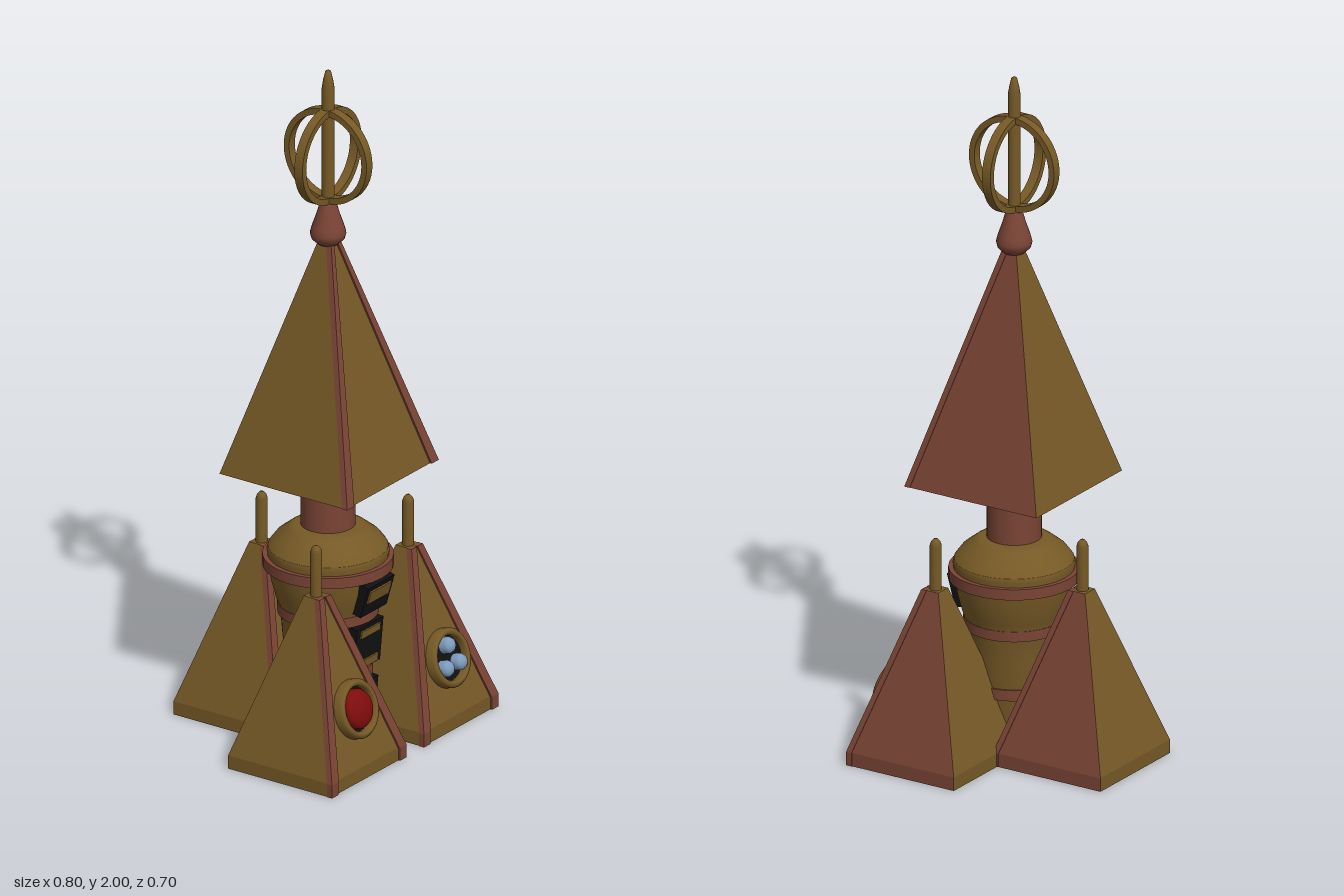
import * as THREE from 'three';

const mat = (name, color, extra = {}) => {
  const m = new THREE.MeshStandardMaterial({ color, ...extra });
  m.name = name;
  return m;
};

export function createModel() {
  const root = new THREE.Group();
  root.name = 'spireTower';
  const gold = mat('agedGold', 0x765926);
  const copper = mat('agedCopper', 0x7a4435);
  const black = mat('black', 0x111111);
  const red = mat('redGlass', 0x800c0c);
  const blue = mat('blueGlass', 0x7d9cbd);

  const add = (parent, name, geo, material, x = 0, y = 0, z = 0) => {
    const m = new THREE.Mesh(geo, material);
    m.name = name;
    m.position.set(x, y, z);
    parent.add(m);
    return m;
  };
  const group = (parent, name, x, y, z) => {
    const g = new THREE.Group();
    g.name = name;
    g.position.set(x, y, z);
    parent.add(g);
    return g;
  };
  const lathe = (pts, seg = 32) => new THREE.LatheGeometry(pts.map(p => new THREE.Vector2(p[0], p[1])), seg);

  // reshape a unit box (u, t, v) by a rule; faces stay flat
  const shapedBox = rule => {
    const g = new THREE.BoxGeometry(1, 1, 1);
    const p = g.attributes.position;
    for (let i = 0; i < p.count; i++) {
      p.setXYZ(i, ...rule(p.getX(i), p.getY(i) + 0.5, p.getZ(i)));
    }
    g.computeVertexNormals();
    return g;
  };

  // copper on the model's left face, gold elsewhere
  const faces = [copper, gold, gold, gold, gold, gold];
  const addFrustum = (parent, name, hb, ht, y0, y1, w) => {
    const half = t => hb + (ht - hb) * t;
    const y = t => y0 + (y1 - y0) * t;
    add(parent, name, shapedBox((u, t, v) => [2 * u * half(t), y(t), 2 * v * half(t)]), faces);
    // raised strips along the two front edges
    for (const s of [-1, 1]) {
      const strip = shapedBox((u, t, v) => {
        const h = half(t), sw = Math.min(w, h);
        return [s * (h + 0.002 - sw / 2) + u * sw, y(t), h - 0.003 + v * 0.018];
      });
      add(parent, name + 'EdgeTrim', strip, copper);
    }
  };

  // three corner pyramids with pins
  const H = 0.176;
  const addPyramid = (name, x, z) => {
    const g = group(root, name, x, 0, z);
    addFrustum(g, 'plinth', H, H, 0, 0.04, 0.03);
    addFrustum(g, 'slopedBody', H, 0.025, 0.04, 0.51, 0.033);
    add(g, 'pin', lathe([[0.017, 0.5], [0.017, 0.64], [0.013, 0.652], [0.006, 0.66], [0, 0.66]], 16), gold);
    return g;
  };
  const rightPyramid = addPyramid('rightPyramid', -0.22, 0.17);
  const leftPyramid = addPyramid('leftPyramid', 0.22, 0.17);
  addPyramid('backPyramid', 0, -0.175);

  // round ports set on the sloping front faces
  const tilt = Math.atan((H - 0.025) / 0.47);
  const addPort = parent => {
    const g = group(parent, 'port', 0, 0.195, H - (0.195 - 0.04) * Math.tan(tilt));
    g.rotation.x = -tilt;
    const rim = lathe([[0.064, 0], [0.064, 0.022], [0.069, 0.03], [0.078, 0.03], [0.085, 0.021], [0.085, -0.004]]);
    rim.rotateX(Math.PI / 2);
    add(g, 'portRim', rim, gold).material = goldOpen;
    const disc = new THREE.CylinderGeometry(0.067, 0.067, 0.008, 32);
    disc.rotateX(Math.PI / 2);
    add(g, 'portBacking', disc, black, 0, 0, 0.004);
    return g;
  };
  const goldOpen = gold;
  gold.side = THREE.DoubleSide;

  const redPort = addPort(rightPyramid);
  const lens = lathe([[0.057, 0], [0.057, 0.02], [0.05, 0.032], [0.03, 0.041], [0, 0.044]]);
  lens.rotateX(Math.PI / 2);
  add(redPort, 'redLens', lens, red);

  const bluePort = addPort(leftPyramid);
  for (const [x, y] of [[0, 0.037], [-0.031, -0.022], [0.031, -0.022]]) {
    const bulb = lathe([[0.024, 0], [0.024, 0.026], [0.019, 0.036], [0.009, 0.041], [0, 0.042]], 20);
    bulb.rotateX(Math.PI / 2);
    add(bluePort, 'blueBulb', bulb, blue, x, y);
  }

  // central body, bands and column share one axis
  const core = group(root, 'core', 0, 0, 0.053);
  add(core, 'lowerBody', lathe([[0, 0.01], [0.095, 0.01], [0.108, 0.1], [0.118, 0.19], [0.128, 0.29], [0.134, 0.37],
    [0.148, 0.41], [0.161, 0.46], [0.167, 0.51]]), gold);
  add(core, 'shoulder', lathe([[0.167, 0.51], [0.172, 0.545], [0.168, 0.558]]), gold);
  add(core, 'shoulderSlope', lathe([[0.168, 0.558], [0.15, 0.582], [0.112, 0.612], [0.095, 0.622], [0, 0.625]]), gold);
  for (const [r, y, h] of [[0.184, 0.516, 0.032], [0.142, 0.373, 0.03], [0.125, 0.19, 0.032]]) {
    add(core, 'band', new THREE.CylinderGeometry(r, r, h, 32), copper, 0, y);
  }
  add(core, 'column', new THREE.CylinderGeometry(0.077, 0.077, 0.2, 32), copper, 0, 0.7);

  // dark front panels with gold bars
  const addPanel = (y, h, z, lean, bars) => {
    const g = group(core, 'frontPanel', 0, y, z);
    g.rotation.x = lean;
    add(g, 'darkPlate', new THREE.BoxGeometry(0.126, h, 0.034), black);
    for (const [by, bh, bw] of bars) {
      add(g, 'goldBar', new THREE.BoxGeometry(bw, bh, 0.008), gold, 0, by, 0.018);
    }
  };
  addPanel(0.446, 0.1, 0.153, 0.28, [[0.015, 0.04, 0.1]]);
  addPanel(0.288, 0.134, 0.122, 0.09, [[0.045, 0.022, 0.09], [-0.05, 0.024, 0.09]]);
  addPanel(0.125, 0.094, 0.106, 0.1, [[-0.006, 0.032, 0.09]]);

  // great upper pyramid
  const spire = group(root, 'spire', 0, 0, 0.053);
  addFrustum(spire, 'upperPyramid', 0.217, 0.015, 0.793, 1.5, 0.034);

  // finial, needle and crossed hoops
  add(spire, 'finial', lathe([[0, 1.47], [0.03, 1.474], [0.047, 1.49], [0.051, 1.506], [0.046, 1.525], [0.034, 1.56],
    [0.022, 1.6], [0.016, 1.612], [0, 1.612]], 24), copper);
  add(spire, 'needle', lathe([[0.018, 1.6], [0.018, 1.945], [0.014, 1.97], [0.008, 1.995], [0, 2]], 16), gold);
  for (const turn of [0, Math.PI / 2]) {
    const shape = new THREE.Shape().absarc(0, 0, 0.142, 0, Math.PI * 2, false);
    shape.holes.push(new THREE.Path().absarc(0, 0, 0.124, 0, Math.PI * 2, true));
    const hoop = new THREE.ExtrudeGeometry(shape, { depth: 0.028, bevelEnabled: false, curveSegments: 40 });
    hoop.translate(0, 0, -0.014);
    add(spire, 'hoop', hoop, gold, 0, 1.74, 0).rotation.y = turn;
  }
  return root;
}
